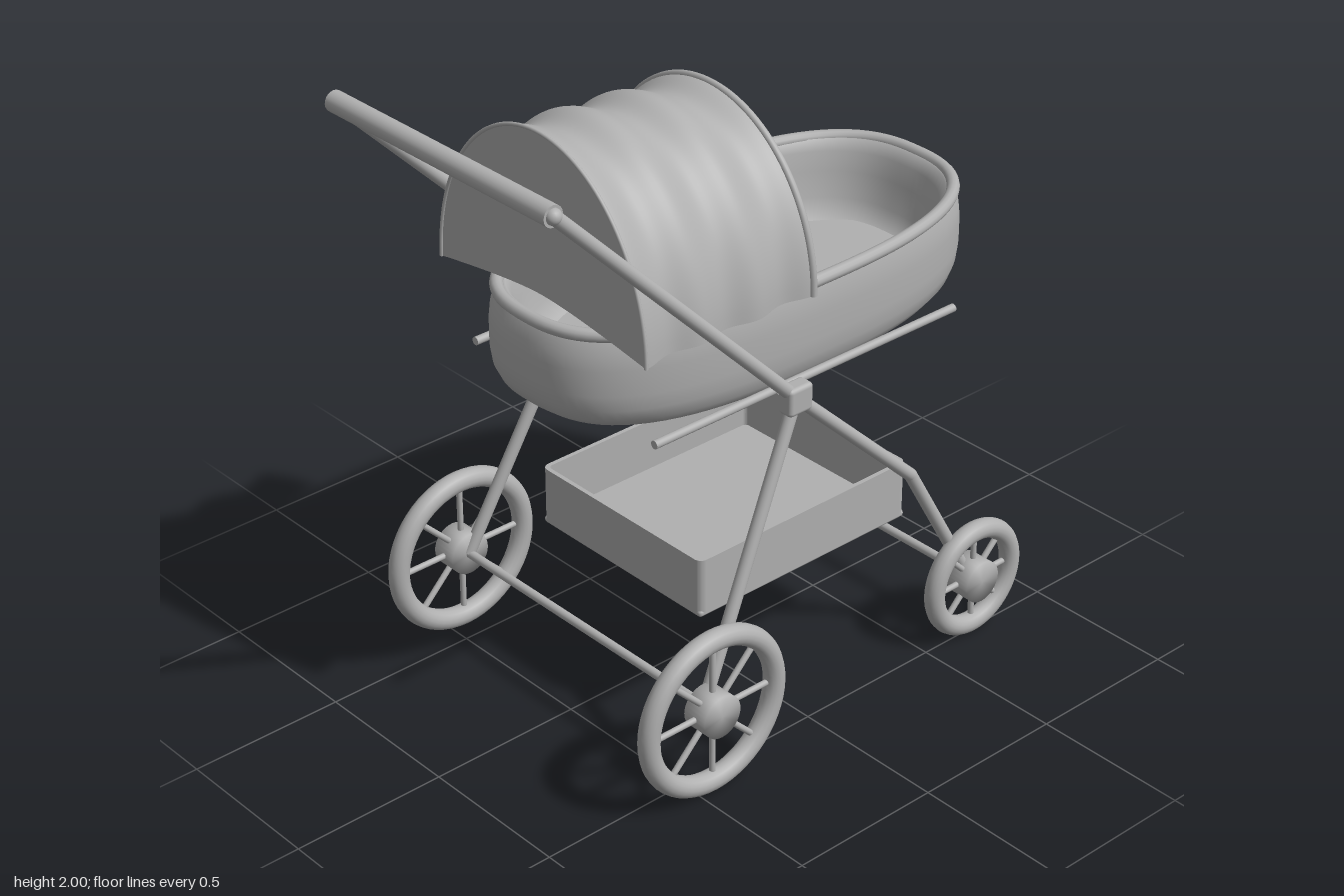
import * as THREE from 'three';
import { mergeVertices } from 'three/addons/utils/BufferGeometryUtils.js';
import { RoundedBoxGeometry } from 'three/addons/geometries/RoundedBoxGeometry.js';

const V = (x, y, z) => new THREE.Vector3(x, y, z);

// Oval plan of the bassinet: maps a unit circle to a superellipse
const HALF_W = 0.402, HALF_L = 0.793, MID_Z = -0.138, POWER = 2.6;
function oval(x, z) {
  const r = Math.hypot(x, z);
  if (r < 1e-6) return [0, MID_Z];
  const c = x / r, s = z / r;
  const f = r * Math.pow(Math.abs(c) ** POWER + Math.abs(s) ** POWER, -1 / POWER);
  return [c * f * HALF_W, s * f * HALF_L + MID_Z];
}

// Welds a geometry so its normals run smoothly over every edge
function smooth(geo) {
  geo.deleteAttribute('uv');
  geo.deleteAttribute('normal');
  const welded = mergeVertices(geo, 1e-4);
  welded.computeVertexNormals();
  return welded;
}

function roundedRect(target, w, d, r) {
  const x = w / 2, y = d / 2;
  target.moveTo(-x + r, -y);
  target.lineTo(x - r, -y);
  target.absarc(x - r, -y + r, r, -Math.PI / 2, 0);
  target.lineTo(x, y - r);
  target.absarc(x - r, y - r, r, 0, Math.PI / 2);
  target.lineTo(-x + r, y);
  target.absarc(-x + r, y - r, r, Math.PI / 2, Math.PI);
  target.lineTo(-x, -y + r);
  target.absarc(-x + r, -y + r, r, Math.PI, Math.PI * 1.5);
  return target;
}

export function createModel() {
  const model = new THREE.Group();
  model.name = 'pram';
  const grey = new THREE.MeshStandardMaterial({ color: 0xb0b0b0, side: THREE.DoubleSide });
  grey.name = 'grey';

  function add(name, geo, parent = model) {
    const mesh = new THREE.Mesh(geo, grey);
    mesh.name = name;
    parent.add(mesh);
    return mesh;
  }

  // Straight round bar between two points
  function bar(name, a, b, r, parent = model) {
    const mesh = add(name, new THREE.CylinderGeometry(r, r, a.distanceTo(b), 20), parent);
    mesh.position.copy(a).add(b).multiplyScalar(0.5);
    mesh.quaternion.setFromUnitVectors(V(0, 1, 0), b.clone().sub(a).normalize());
    return mesh;
  }

  function ball(name, p, r) {
    add(name, new THREE.SphereGeometry(r, 20, 12)).position.copy(p);
  }

  // Spoked wheel turning about the x axis
  function wheel(name, x, y, z, ringR, tyreR) {
    const g = new THREE.Group();
    g.name = name;
    g.position.set(x, y, z);
    add('tyre', new THREE.TorusGeometry(ringR, tyreR, 16, 56), g).rotation.y = Math.PI / 2;
    const hub = add('wheelHub', smooth(new THREE.CylinderGeometry(0.069, 0.069, 0.086, 32)), g);
    hub.rotation.z = Math.PI / 2;
    for (let i = 0; i < 8; i++) {
      const a = i * Math.PI / 4;
      bar('spoke', V(0, 0, 0), V(0, Math.cos(a) * ringR, Math.sin(a) * ringR), 0.0095, g);
    }
    model.add(g);
  }

  // Bassinet: outer shell, rim roll and inner wall in one profile
  const profile = [
    [0, 1.04], [0.35, 1.043], [0.65, 1.055], [0.83, 1.072], [0.92, 1.092], [0.965, 1.12],
    [0.99, 1.16], [1, 1.21], [1, 1.29], [0.993, 1.335], [0.975, 1.37], [0.96, 1.395],
    [0.93, 1.395], [0.905, 1.36], [0.88, 1.3], [0.85, 1.22], [0.8, 1.155], [0.6, 1.13], [0, 1.13],
  ].map(([r, y]) => new THREE.Vector2(r, y));
  const shell = new THREE.LatheGeometry(profile, 96);
  const sp = shell.attributes.position;
  for (let i = 0; i < sp.count; i++) {
    const [x, z] = oval(sp.getX(i), sp.getZ(i));
    sp.setXYZ(i, x, sp.getY(i), z);
  }
  add('bassinet', smooth(shell));

  const rimPoints = [];
  for (let i = 0; i < 64; i++) {
    const a = i / 64 * Math.PI * 2;
    const [x, z] = oval(Math.cos(a) * 0.965, Math.sin(a) * 0.965);
    rimPoints.push(V(x, 1.393, z));
  }
  add('bassinetRim', new THREE.TubeGeometry(new THREE.CatmullRomCurve3(rimPoints, true), 128, 0.02, 12, true));

  const mattress = add('mattress', new THREE.CylinderGeometry(1, 1, 0.02, 64));
  mattress.scale.set(0.325, 1, 0.672);
  mattress.position.set(0, 1.155, MID_Z);

  // Pleated hood: half-ellipse arches swelling and pinching along z
  const BACK = 0.575, FRONT = -0.045, BASE = 1.388;
  function hoodPoint(angle, z) {
    const t = (BACK - z) / (BACK - FRONT);
    const pleat = 0.5 - 0.5 * Math.cos(t * 3 * Math.PI * 2);
    const width = 0.442 - 0.022 * pleat;
    const height = 0.549 - 0.042 * t - 0.027 * pleat;
    return V(Math.cos(angle) * width, BASE + Math.sin(angle) * height, z);
  }
  const hood = new THREE.PlaneGeometry(1, 1, 48, 48);
  const hp = hood.attributes.position;
  for (let i = 0; i < hp.count; i++) {
    const p = hoodPoint((0.5 - hp.getX(i)) * Math.PI, BACK + (FRONT - BACK) * (hp.getY(i) + 0.5));
    hp.setXYZ(i, p.x, p.y, p.z);
  }
  hood.computeVertexNormals();
  add('hood', hood);
  for (const [z, r] of [[FRONT, 0.011], [BACK, 0.006]]) {
    const arch = Array.from({ length: 25 }, (_, i) => hoodPoint(i / 24 * Math.PI, z));
    add('hoodEdge', new THREE.TubeGeometry(new THREE.CatmullRomCurve3(arch), 64, r, 10));
  }

  // Flat end panel closing the hood, with an arched lower edge
  const panel = new THREE.Shape();
  panel.moveTo(0.442, BASE);
  panel.absellipse(0, BASE, 0.442, 0.549, 0, Math.PI);
  panel.quadraticCurveTo(-0.13, 1.44, 0, 1.44);
  panel.quadraticCurveTo(0.13, 1.44, 0.442, BASE);
  add('hoodPanel', new THREE.ShapeGeometry(panel, 32)).position.z = BACK;

  // Push handle
  bar('handleGrip', V(-0.463, 1.967, 0.9), V(0.463, 1.967, 0.9), 0.032);

  // Side frames, wheels and rails, mirrored left and right
  for (const s of [1, -1]) {
    const pivot = V(s * 0.46, 1.1, 0.035);
    add('frameJoint', new RoundedBoxGeometry(0.056, 0.09, 0.092, 3, 0.014)).position.copy(pivot);
    const top = V(s * 0.463, 1.967, 0.9);
    bar('handleArm', pivot, top, 0.021);
    ball('handleEnd', top, 0.024);

    bar('rearLeg', pivot, V(s * 0.535, 0.28, 0.45), 0.02);
    const knee = V(s * 0.468, 0.655, -0.435);
    bar('frontLegUpper', pivot, knee, 0.02);
    ball('frontLegKnee', knee, 0.02);
    bar('frontLegLower', knee, V(s * 0.478, 0.2, -0.69), 0.02);

    wheel('largeWheel', s * 0.572, 0.28, 0.45, 0.24, 0.033);
    wheel('smallWheel', s * 0.502, 0.2, -0.69, 0.164, 0.032);
    bar('bassinetRail', V(s * 0.392, 1.102, 0.505), V(s * 0.392, 1.102, -0.67), 0.013);
  }

  // Axles
  bar('largeWheelAxle', V(-0.57, 0.28, 0.45), V(0.57, 0.28, 0.45), 0.014);
  bar('smallWheelAxle', V(-0.5, 0.2, -0.69), V(0.5, 0.2, -0.69), 0.014);

  // Open storage basket
  const basket = new THREE.Group();
  basket.name = 'basket';
  basket.position.set(0, 0.415, -0.117);
  const wall = roundedRect(new THREE.Shape(), 0.71, 0.836, 0.025);
  wall.holes.push(roundedRect(new THREE.Path(), 0.682, 0.808, 0.015));
  const walls = new THREE.ExtrudeGeometry(wall, { depth: 0.185, bevelEnabled: false, curveSegments: 6 });
  walls.rotateX(-Math.PI / 2);
  add('basketWalls', walls, basket).position.y = 0.01;
  add('basketFloor', new RoundedBoxGeometry(0.708, 0.024, 0.834, 3, 0.011), basket).position.y = 0.012;
  model.add(basket);

  return model;
}
